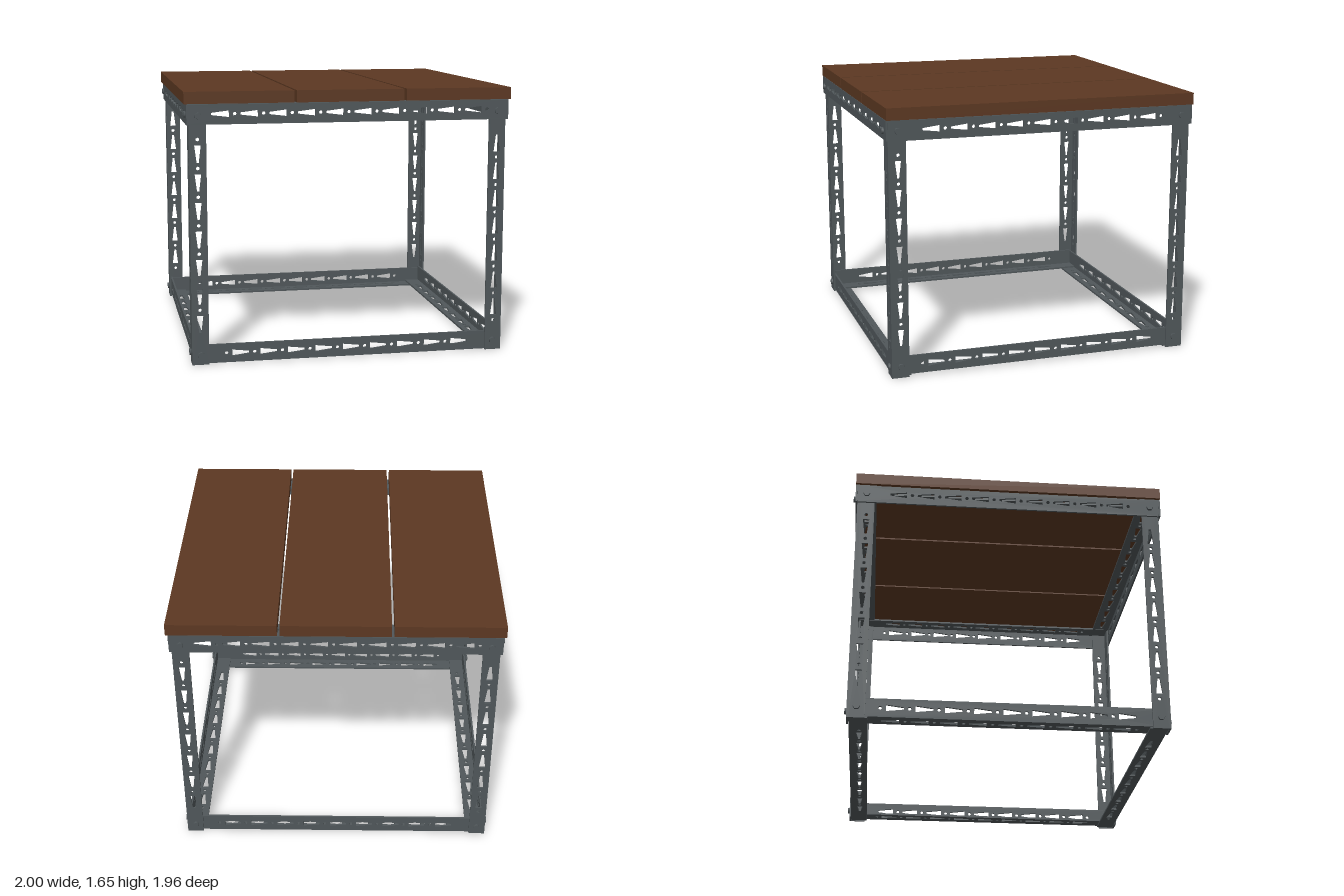
import * as THREE from 'three';

const T = 0.012; // steel thickness
const V = (x, y, z) => new THREE.Vector3(x, y, z);

// Flat steel strip with wedge slots and small round holes, centred along its length
function stripGeometry(length, width) {
  const s = new THREE.Shape();
  const h = length / 2;
  s.moveTo(-h, 0); s.lineTo(h, 0); s.lineTo(h, width); s.lineTo(-h, width); s.closePath();
  const c = Math.min(0.058, width / 2);
  const pitch = 0.172;
  const count = Math.floor((length - 0.24) / pitch);
  for (let i = 0; i < count; i++) {
    const u = (i - (count - 1) / 2) * pitch;
    const slot = new THREE.Path();
    slot.moveTo(u - 0.065, c - 0.007);
    slot.lineTo(u - 0.065, c + 0.007);
    slot.lineTo(u + 0.04, c + 0.02);
    slot.lineTo(u + 0.04, c - 0.02);
    slot.closePath();
    s.holes.push(slot);
    const dot = new THREE.Path();
    dot.absarc(u + 0.074, c, 0.012, 0, Math.PI * 2, true);
    s.holes.push(dot);
  }
  return new THREE.ExtrudeGeometry(s, { depth: T, bevelEnabled: false, curveSegments: 3 });
}

// Places a strip: u runs along it, v across it, n through its thickness
function strip(name, material, origin, u, v, n, length, width) {
  const mesh = new THREE.Mesh(stripGeometry(length, width), material);
  const dir = u.clone();
  if (dir.clone().cross(v).dot(n) < 0) dir.negate();
  mesh.applyMatrix4(new THREE.Matrix4().makeBasis(dir, v, n).setPosition(origin));
  mesh.name = name;
  return mesh;
}

// L-section bar whose outer corner line passes through origin
function angleBar(name, material, origin, u, a, b, length, widthA, widthB) {
  const g = new THREE.Group();
  g.name = name;
  g.add(strip(name + 'Web', material, origin, u, a, b, length, widthA));
  const start = origin.clone().addScaledVector(b, T);
  g.add(strip(name + 'Flange', material, start, u, b, a, length, widthB - T));
  return g;
}

export function createModel() {
  const group = new THREE.Group();
  const wood = new THREE.MeshStandardMaterial({ color: 0x5c3822 });
  wood.name = 'darkWood';
  const steel = new THREE.MeshStandardMaterial({ color: 0x50575a });
  steel.name = 'greySteel';

  // Table top planks
  for (const i of [-1, 0, 1]) {
    const plank = new THREE.Mesh(new THREE.BoxGeometry(0.656, 0.072, 1.94), wood);
    plank.position.set(i * 0.672, 1.616, 0);
    plank.name = 'plank';
    group.add(plank);
  }

  const X = V(1, 0, 0), Y = V(0, 1, 0), Z = V(0, 0, 1), down = V(0, -1, 0);
  for (const s of [-1, 1]) {
    const inX = V(-s, 0, 0), inZ = V(0, 0, -s);
    // Upper rails wrap outside the legs, with the flange under the planks
    group.add(angleBar(s > 0 ? 'frontTopRail' : 'backTopRail', steel,
      V(0, 1.578, s * 0.97), X, down, inZ, 1.97, 0.12, 0.13));
    group.add(angleBar(s > 0 ? 'leftTopRail' : 'rightTopRail', steel,
      V(s * 0.985, 1.575, 0), Z, down, inX, 1.914, 0.12, 0.12));
    // Lower rails sit inside the legs, with the flange at the bottom
    group.add(angleBar(s > 0 ? 'frontLowerRail' : 'backLowerRail', steel,
      V(0, 0.004, s * 0.944), X, Y, inZ, 1.91, 0.116, 0.11));
    group.add(angleBar(s > 0 ? 'leftLowerRail' : 'rightLowerRail', steel,
      V(s * 0.959, 0.014, 0), Z, Y, inX, 1.86, 0.116, 0.11));
  }

  // Legs and corner bolts
  const boltGeometry = new THREE.CylinderGeometry(0.02, 0.022, 0.018, 6);
  const bolt = (x, y, z, sideways) => {
    const m = new THREE.Mesh(boltGeometry, steel);
    m.position.set(x, y, z);
    if (sideways) m.rotation.z = -Math.sign(x) * Math.PI / 2;
    else m.rotation.x = Math.sign(z) * Math.PI / 2;
    m.name = 'bolt';
    group.add(m);
  };
  for (const sx of [-1, 1]) for (const sz of [-1, 1]) {
    group.add(angleBar('leg', steel, V(sx * 0.972, 0.78, sz * 0.957), Y,
      V(-sx, 0, 0), V(0, 0, -sz), 1.56, 0.103, 0.108));
    bolt(sx * 0.917, 1.51, sz * 0.973, false);
    bolt(sx * 0.917, 0.06, sz * 0.96, false);
    bolt(sx * 0.988, 1.515, sz * 0.9, true);
    bolt(sx * 0.975, 0.07, sz * 0.9, true);
  }
  return group;
}
